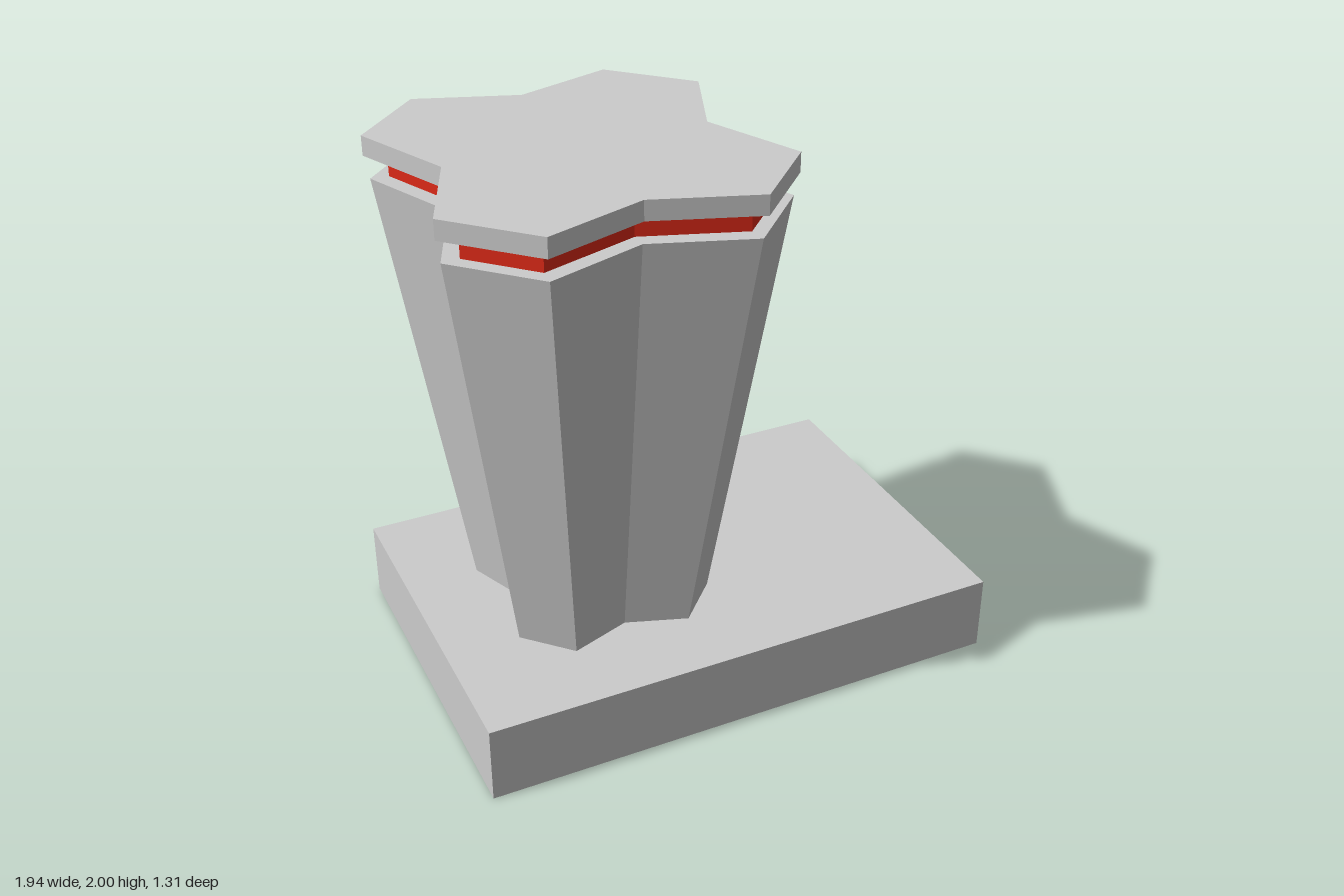
import * as THREE from 'three';

const TOWER_X = -0.33;

// Four-pronged star outline, mirrored from one quarter:
// side notch, two prong corners, front notch.
function starShape(sideNotch, cornerA, cornerB, frontNotch) {
  const [ax, az] = cornerA;
  const [bx, bz] = cornerB;
  return new THREE.Shape([
    [sideNotch, 0], [ax, az], [bx, bz],
    [0, frontNotch], [-bx, bz], [-ax, az],
    [-sideNotch, 0], [-ax, -az], [-bx, -bz],
    [0, -frontNotch], [bx, -bz], [ax, -az],
  ].map(([x, z]) => new THREE.Vector2(x, z)));
}

// Upright prism from y0 to y1, with its outline scaled from bottom to top.
function prism(shape, y0, y1, bottomScale = 1, topScale = 1) {
  const height = y1 - y0;
  const geometry = new THREE.ExtrudeGeometry(shape, { depth: height, bevelEnabled: false });
  geometry.rotateX(-Math.PI / 2);
  const p = geometry.attributes.position;
  for (let i = 0; i < p.count; i++) {
    const s = THREE.MathUtils.lerp(bottomScale, topScale, p.getY(i) / height);
    p.setXYZ(i, p.getX(i) * s, p.getY(i) + y0, p.getZ(i) * s);
  }
  geometry.computeVertexNormals();
  return geometry;
}

export function createModel() {
  const group = new THREE.Group();
  const grey = new THREE.MeshStandardMaterial({ color: 0xcccccc, flatShading: true });
  const red = new THREE.MeshStandardMaterial({ color: 0xe02a18, flatShading: true });

  const add = (name, geometry, material, x = 0, y = 0) => {
    const mesh = new THREE.Mesh(geometry, material);
    mesh.name = name;
    mesh.position.set(x, y, 0);
    group.add(mesh);
  };

  const star = starShape(0.463, [0.613, 0.37], [0.36, 0.632], 0.507);
  // The same outline set in evenly by about 0.07
  const insetStar = starShape(0.39, [0.535, 0.355], [0.344, 0.553], 0.435);

  // Rectangular slab
  add('base', new THREE.BoxGeometry(1.944, 0.285, 1.31), grey, 0, 0.1425);
  // Flaring tower
  add('towerBody', prism(star, 0.285, 1.85, 0.605, 0.975), grey, TOWER_X);
  // Recessed coloured band below the cap
  add('redBand', prism(insetStar, 1.85, 1.93), red, TOWER_X);
  // Flat lid
  add('cap', prism(star, 1.93, 2), grey, TOWER_X);

  return group;
}
